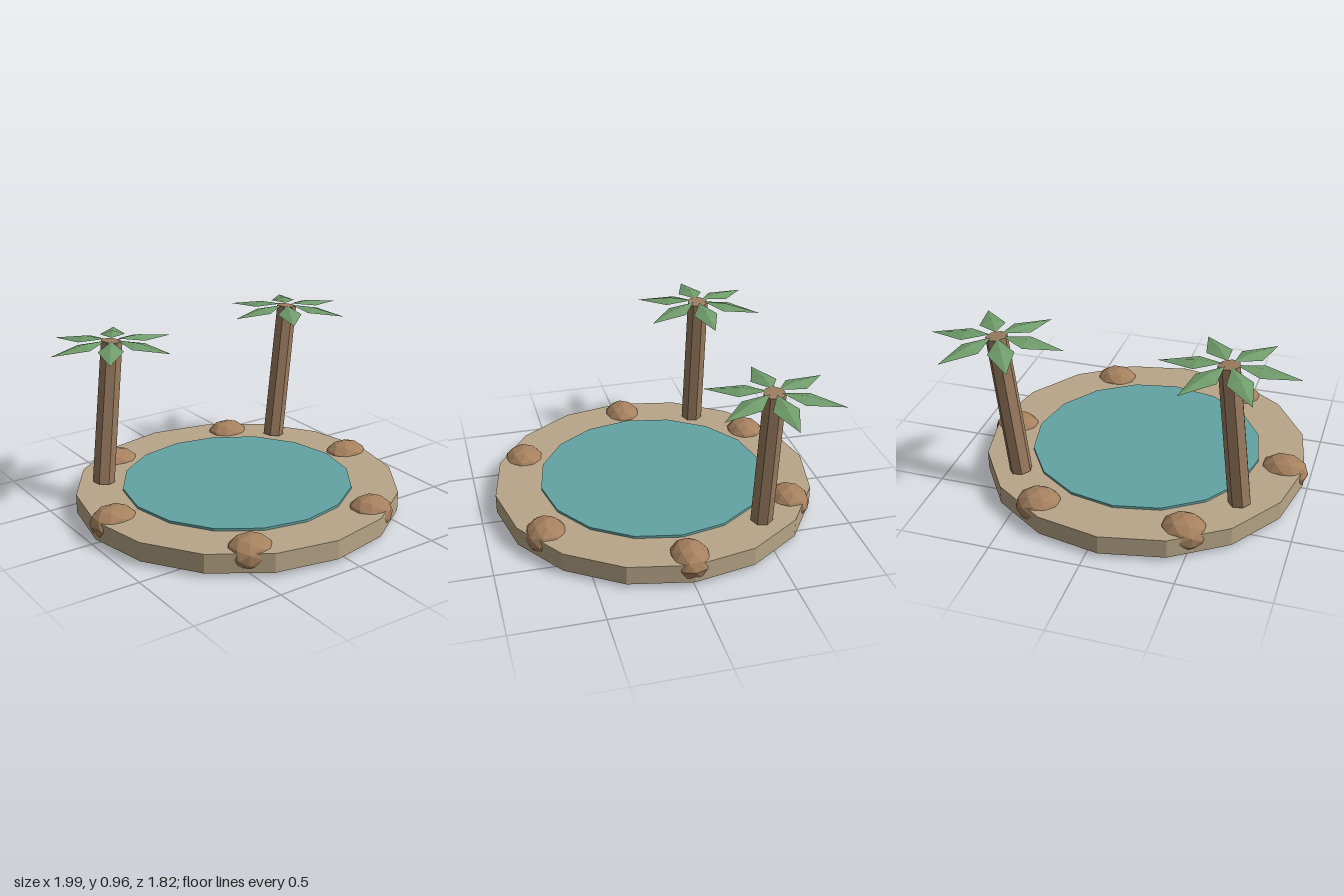
import * as THREE from 'three';

const mat = (name, color) => {
  const m = new THREE.MeshStandardMaterial({ color, flatShading: true });
  m.name = name;
  return m;
};

export function createModel() {
  const sand = mat('sand', 0xb8a688);
  const water = mat('water', 0x63a3a2);
  const stone = mat('stone', 0xa6815f);
  const bark = mat('bark', 0x9c7d60);
  const frond = mat('frond', 0x709c6b);
  frond.side = THREE.DoubleSide;

  const model = new THREE.Group();
  model.name = 'oasis';
  const cx = -0.067; // island centre

  const add = (parent, name, geometry, material, x = 0, y = 0, z = 0) => {
    const mesh = new THREE.Mesh(geometry, material);
    mesh.name = name;
    mesh.position.set(x, y, z);
    parent.add(mesh);
    return mesh;
  };

  // Island and pond
  add(model, 'island', new THREE.CylinderGeometry(0.91, 0.91, 0.107, 16), sand, cx, 0.0765);
  add(model, 'pond', new THREE.CylinderGeometry(0.65, 0.65, 0.04, 16), water, cx, 0.124);

  // Ring of six boulders
  const rockGeometry = new THREE.IcosahedronGeometry(1, 1);
  for (let i = 0; i < 6; i++) {
    const a = (i * Math.PI) / 3;
    const rock = add(model, 'rock', rockGeometry, stone,
      cx + 0.797 * Math.cos(a), 0.095, 0.797 * Math.sin(a));
    if (i % 3 === 0) rock.scale.set(0.136, 0.095, 0.112);
    else rock.scale.set(0.13, 0.095, 0.116);
  }

  // Ridged kite-shaped leaf pointing along +x
  const leafGeometry = new THREE.BufferGeometry();
  leafGeometry.setAttribute('position', new THREE.Float32BufferAttribute([
    0.035, 0, 0,
    0.17, 0.002, 0,
    0.37, -0.034, 0,
    0.17, -0.018, 0.07,
    0.17, -0.018, -0.07,
  ], 3));
  leafGeometry.setIndex([0, 3, 1, 1, 3, 2, 0, 1, 4, 1, 2, 4]);
  leafGeometry.computeVertexNormals();

  // Leaning palms: base and top of each trunk
  const palm = (base, top) => {
    const group = new THREE.Group();
    group.name = 'palm';
    model.add(group);
    const axis = top.clone().sub(base);
    const middle = base.clone().add(top).multiplyScalar(0.5);
    const trunk = add(group, 'trunk',
      new THREE.CylinderGeometry(0.06, 0.063, axis.length(), 7), bark,
      middle.x, middle.y, middle.z);
    trunk.quaternion.setFromUnitVectors(new THREE.Vector3(0, 1, 0), axis.normalize());
    for (let i = 0; i < 6; i++) {
      const leaf = add(group, 'leaf', leafGeometry, frond, top.x, 0.957, top.z);
      leaf.rotation.y = (i * Math.PI) / 3;
    }
  };
  palm(new THREE.Vector3(-0.7, 0.138, -0.415), new THREE.Vector3(-0.61, 0.952, -0.415));
  palm(new THREE.Vector3(0.525, 0.138, -0.463), new THREE.Vector3(0.618, 0.952, -0.463));

  return model;
}
